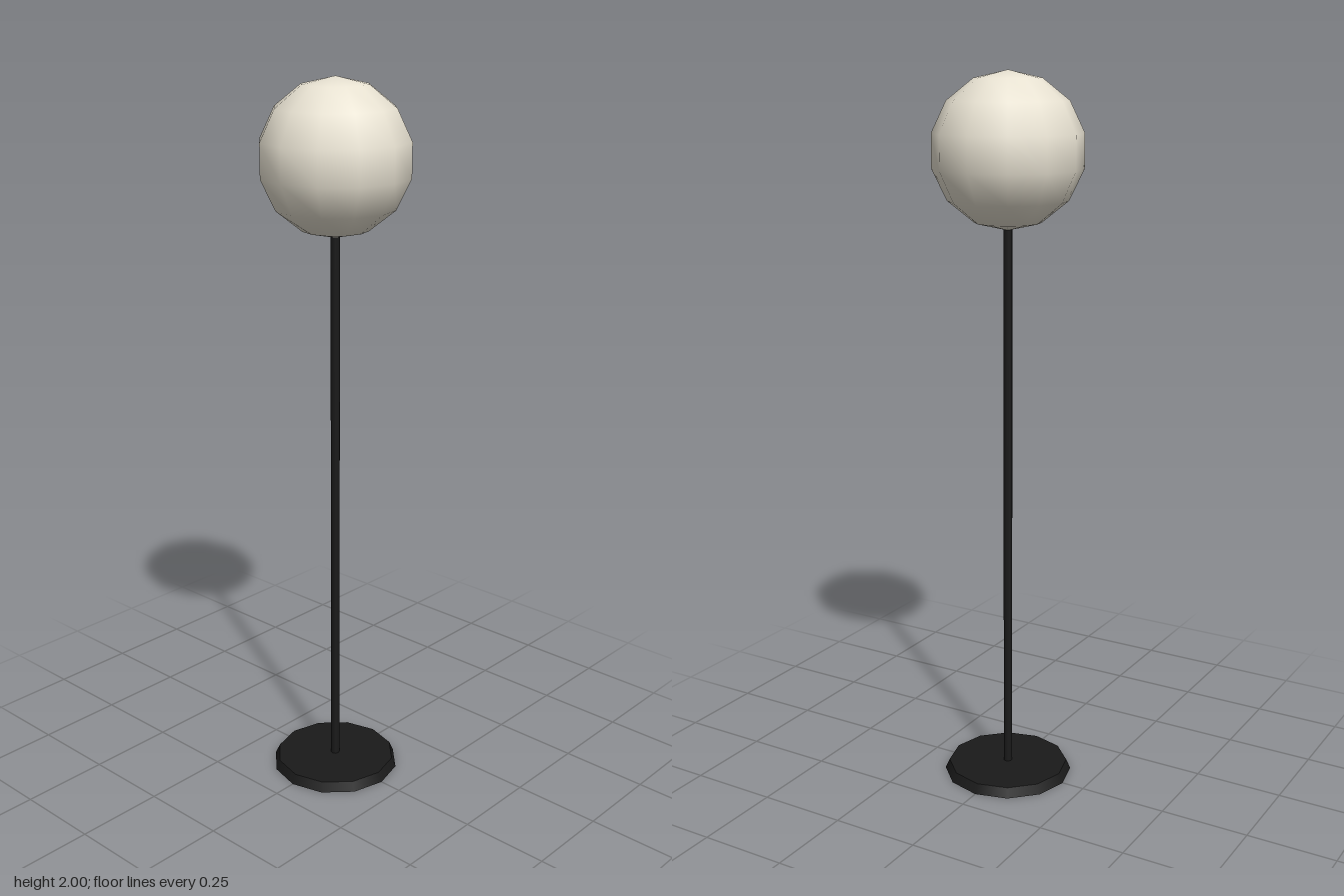
import * as THREE from 'three';

export function createModel() {
  const lamp = new THREE.Group();
  lamp.name = 'globeFloorLamp';

  const black = new THREE.MeshStandardMaterial({ color: 0x1a1a1a });
  const cream = new THREE.MeshStandardMaterial({ color: 0xe8e2d2 });

  function add(name, geometry, material, y) {
    const mesh = new THREE.Mesh(geometry, material);
    mesh.name = name;
    mesh.position.y = y;
    lamp.add(mesh);
  }

  // Flat foot with a bevelled rim
  const baseHeight = 0.027;
  add('base', new THREE.CylinderGeometry(0.172, 0.184, baseHeight, 12), black, baseHeight / 2);

  // Thin pole from the foot into the globe
  const poleBottom = 0.02, poleTop = 1.61;
  add('pole', new THREE.CylinderGeometry(0.0125, 0.0125, poleTop - poleBottom, 8), black, (poleBottom + poleTop) / 2);

  // Low-poly, smooth-shaded globe; odd ring count leaves an upright band at the middle
  const radius = 0.208;
  add('globeShade', new THREE.SphereGeometry(radius, 12, 7), cream, 2 - radius);

  return lamp;
}
